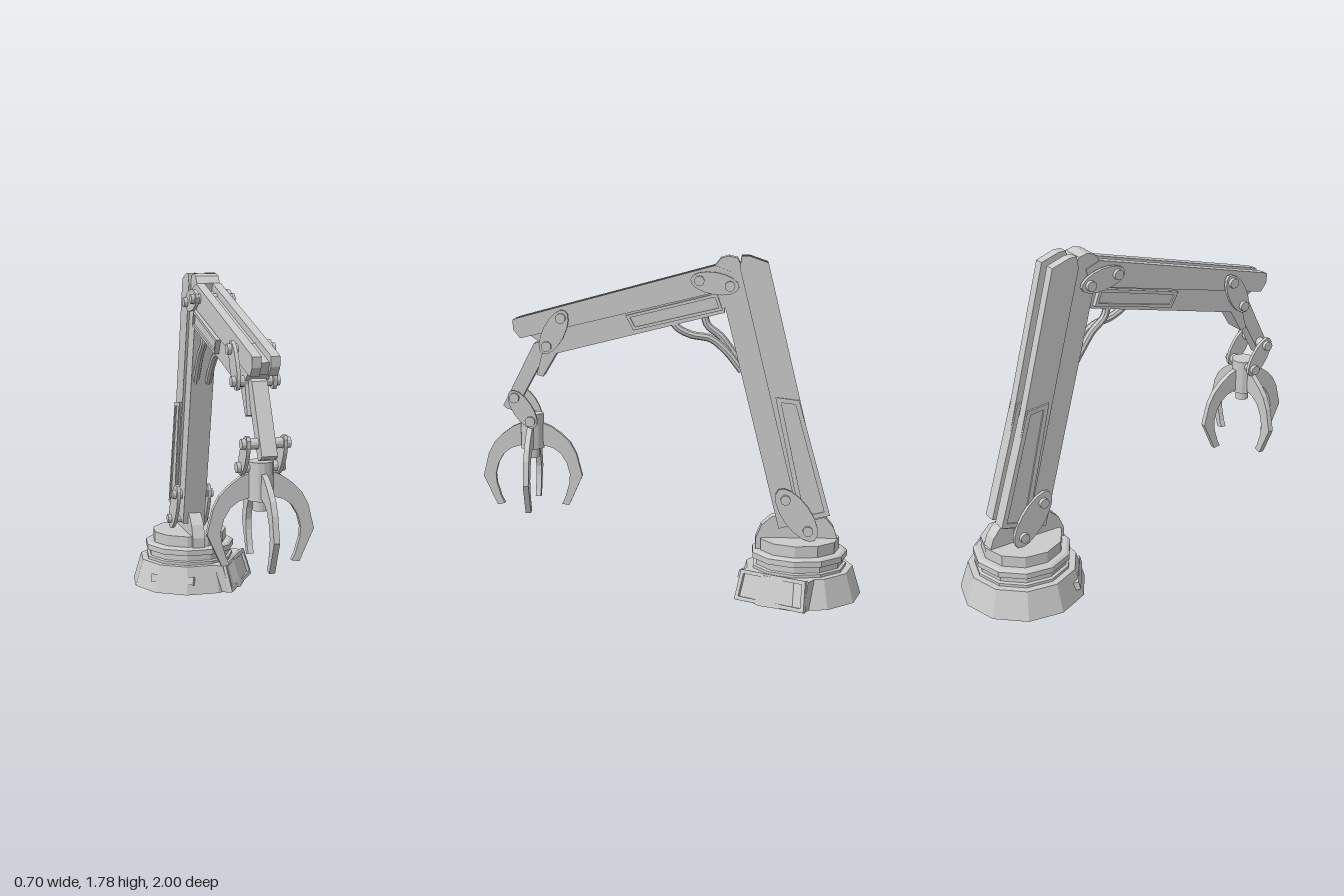
import * as THREE from 'three';

const mat = new THREE.MeshStandardMaterial({ color: 0xcccccc, flatShading: true });

function add(parent, name, geo) {
  const mesh = new THREE.Mesh(geo, mat);
  mesh.name = name;
  parent.add(mesh);
  return mesh;
}

const toShape = (pts) => new THREE.Shape(pts.map(([a, b]) => new THREE.Vector2(a, b)));

// Side profile drawn as (z, y), extruded sideways from x0 to x1
function slab(parent, name, profile, x0, x1) {
  const shape = Array.isArray(profile) ? toShape(profile) : profile;
  const geo = new THREE.ExtrudeGeometry(shape, { depth: x1 - x0, bevelEnabled: false, curveSegments: 8 });
  geo.rotateY(-Math.PI / 2).translate(x1, 0, 0);
  return add(parent, name, geo);
}

// The same profile on both sides
function pair(parent, name, profile, x0, x1) {
  slab(parent, name + 'Left', profile, x0, x1);
  slab(parent, name + 'Right', profile, -x1, -x0);
}

// Four-cornered outline with a border of width w left around a hole
function frameShape(pts, w) {
  const v = pts.map(([a, b]) => new THREE.Vector2(a, b));
  const inner = v.map((p, i) => {
    const next = v[(i + 1) % 4].clone().sub(p).setLength(w);
    const prev = v[(i + 3) % 4].clone().sub(p).setLength(w);
    return p.clone().add(next).add(prev);
  });
  const shape = toShape(pts);
  shape.holes.push(new THREE.Path(inner));
  return shape;
}

// Joint: an oval plate on each side and two pins running right through
function joint(parent, name, a, b, halfLength, halfWidth) {
  const group = new THREE.Group();
  group.name = name;
  parent.add(group);
  const shape = new THREE.Shape();
  shape.absellipse((a[0] + b[0]) / 2, (a[1] + b[1]) / 2, halfLength, halfWidth,
    0, Math.PI * 2, false, Math.atan2(b[1] - a[1], b[0] - a[0]));
  pair(group, 'linkPlate', shape, 0.08, 0.098);
  for (const [z, y] of [a, b]) {
    const pin = new THREE.CylinderGeometry(0.026, 0.026, 0.236, 12).rotateZ(Math.PI / 2);
    add(group, 'pin', pin.translate(0, y, z));
  }
}

function buildBase(parent) {
  const base = new THREE.Group();
  base.name = 'base';
  base.position.z = -0.67;
  parent.add(base);
  // Stepped turntable
  const profile = [[0, 0], [0.33, 0], [0.285, 0.15], [0.25, 0.15], [0.25, 0.165], [0.235, 0.17], [0.235, 0.2],
    [0.255, 0.205], [0.255, 0.235], [0.24, 0.245], [0.212, 0.245], [0.212, 0.305], [0, 0.305]];
  const pts = profile.map(([r, y]) => new THREE.Vector2(r, y));
  add(base, 'turntable', new THREE.LatheGeometry(pts, 11).rotateY(Math.PI));
  // Raised service hatch
  const hatch = new THREE.Group();
  hatch.name = 'hatch';
  hatch.rotation.y = Math.atan2(0.85, 0.52);
  base.add(hatch);
  slab(hatch, 'hatchBody', [[0.15, 0], [0.302, 0], [0.258, 0.15], [0.15, 0.15]], -0.198, 0.198);
  const rim = frameShape([[-0.205, 0], [0.205, 0], [0.19, 0.16], [-0.19, 0.16]], 0.02);
  const rimMesh = add(hatch, 'hatchRim', new THREE.ExtrudeGeometry(rim, { depth: 0.022, bevelEnabled: false }));
  rimMesh.position.z = 0.296;
  rimMesh.rotation.x = -0.28;
  // Small plate on the front
  const plate = add(base, 'frontPlate', new THREE.BoxGeometry(0.25, 0.045, 0.03).rotateX(-0.28).translate(0, 0.075, 0.283));
  plate.rotation.y = -Math.PI * 2 / 11;
  // Upright rounded bracket
  slab(parent, 'bracket', [[-0.44, 0.24], [-0.44, 0.3], [-0.47, 0.37], [-0.52, 0.415], [-0.6, 0.44], [-0.72, 0.44],
    [-0.81, 0.41], [-0.85, 0.36], [-0.87, 0.3], [-0.87, 0.24]], -0.035, 0.035);
}

function buildLowerArm(parent) {
  const arm = new THREE.Group();
  arm.name = 'lowerArm';
  parent.add(arm);
  slab(arm, 'frontBeam', [[-0.56, 0.36], [-0.22, 1.73], [-0.25, 1.767], [-0.29, 1.778], [-0.335, 1.767],
    [-0.36, 1.715], [-0.68, 0.395]], -0.062, 0.062);
  pair(arm, 'rearRail', [[-0.67, 0.39], [-0.345, 1.72], [-0.355, 1.778], [-0.395, 1.778], [-0.49, 1.745], [-0.81, 0.43]],
    0.025, 0.075);
  slab(arm, 'rearCore', [[-0.67, 0.39], [-0.345, 1.72], [-0.36, 1.745], [-0.45, 1.72], [-0.77, 0.42]], -0.025, 0.025);
  // Sleeve around the lower rear, with framed sides
  const sleeve = [[-0.533, 1.06], [-0.655, 1.045], [-0.825, 0.44], [-0.675, 0.405]];
  pair(arm, 'sleeve', sleeve, 0.015, 0.077);
  pair(arm, 'sleeveFrame', frameShape(sleeve, 0.025), 0.077, 0.085);
}

function buildUpperArm(parent) {
  const arm = new THREE.Group();
  arm.name = 'upperArm';
  parent.add(arm);
  pair(arm, 'topRail', [[-0.22, 1.73], [-0.3, 1.7], [-0.27, 1.605], [0.78, 1.355], [0.815, 1.4], [0.818, 1.45], [0.79, 1.46]],
    0.022, 0.067);
  slab(arm, 'core', [[-0.22, 1.69], [-0.27, 1.605], [0.77, 1.36], [0.8, 1.42]], -0.022, 0.022);
  slab(arm, 'underBody', [[-0.27, 1.62], [-0.27, 1.49], [0.6, 1.275], [0.73, 1.37]], -0.056, 0.056);
  const panel = [[0.235, 1.475], [-0.23, 1.59], [-0.26, 1.505], [0.195, 1.4]];
  pair(arm, 'sidePanel', panel, 0.05, 0.071);
  pair(arm, 'sidePanelFrame', frameShape(panel, 0.016), 0.071, 0.08);
}

function buildWrist(parent) {
  const wrist = new THREE.Group();
  wrist.name = 'wrist';
  parent.add(wrist);
  slab(wrist, 'wristBeam', [[0.715, 1.325], [0.88, 1.0], [0.865, 0.985], [0.82, 0.97], [0.61, 1.35]], -0.038, 0.038);
  const cover = [[0.655, 1.33], [0.7, 1.165], [0.667, 1.155], [0.59, 1.285]];
  slab(wrist, 'wristCover', cover, -0.055, 0.055);
}

function buildGripper(parent) {
  const grip = new THREE.Group();
  grip.name = 'gripper';
  grip.position.z = 0.736;
  parent.add(grip);
  add(grip, 'hub', new THREE.CylinderGeometry(0.061, 0.061, 0.185, 14).translate(0, 0.8625, 0));
  add(grip, 'hubStub', new THREE.CylinderGeometry(0.036, 0.036, 0.06, 14).translate(0, 0.75, 0));
  // Four curved claws
  const claw = [[0.04, 0.91], [0.1, 0.885], [0.155, 0.845], [0.2, 0.8], [0.232, 0.74], [0.262, 0.62], [0.19, 0.462],
    [0.152, 0.47], [0.17, 0.505], [0.192, 0.58], [0.196, 0.63], [0.18, 0.69], [0.15, 0.74], [0.11, 0.77], [0.04, 0.79]];
  for (let i = 0; i < 4; i++) {
    slab(grip, 'claw' + (i + 1), claw, -0.014, 0.014).rotation.y = i * Math.PI / 2;
  }
}

export function createModel() {
  const model = new THREE.Group();
  model.name = 'roboticArm';
  const body = new THREE.Group();
  body.name = 'arm';
  body.position.x = -0.025;
  model.add(body);

  buildBase(body);
  buildLowerArm(body);
  buildUpperArm(body);
  buildWrist(body);
  buildGripper(body);

  joint(body, 'baseJoint', [-0.592, 0.525], [-0.71, 0.36], 0.165, 0.072);
  joint(body, 'elbowJoint', [-0.142, 1.655], [-0.297, 1.628], 0.125, 0.056);
  joint(body, 'wristJoint', [0.565, 1.462], [0.64, 1.318], 0.125, 0.056);
  joint(body, 'gripperJoint', [0.811, 1.05], [0.731, 0.927], 0.115, 0.05);

  // Hoses under the elbow
  const hoses = [
    [[0, 1.45], [-0.03, 1.41], [-0.1, 1.375], [-0.2, 1.355], [-0.28, 1.29], [-0.36, 1.19]],
    [[-0.16, 1.5], [-0.18, 1.42], [-0.25, 1.36], [-0.31, 1.28], [-0.37, 1.19]]];
  hoses.forEach((pts, i) => {
    const curve = new THREE.CatmullRomCurve3(pts.map(([z, y]) => new THREE.Vector3(i ? -0.035 : 0.035, y, z)));
    add(body, 'hose' + (i + 1), new THREE.TubeGeometry(curve, 20, 0.02, 8));
  });
  return model;
}
